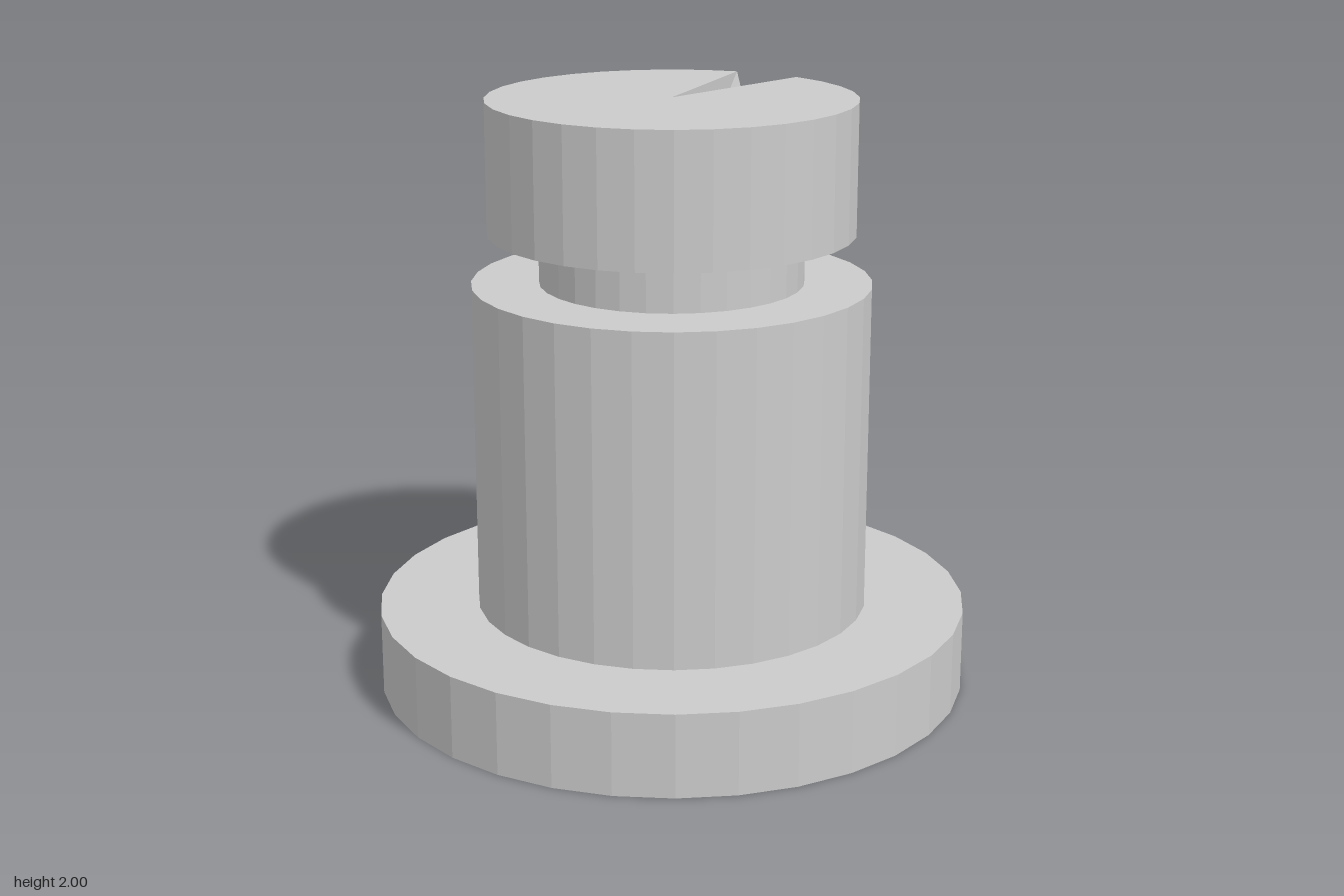
import * as THREE from 'three';

const SIDES = 32;
const material = new THREE.MeshStandardMaterial({
  color: 0xcccccc, flatShading: true, side: THREE.DoubleSide,
});

// Closed faceted drum with a narrow wedge notch, open to its floor, on the +x side
function notchedDrum(name, radius, y0, y1) {
  const positions = [];
  const rim = (i, y) => {
    const a = ((i % SIDES) / SIDES) * Math.PI * 2;
    return [radius * Math.cos(a), y, -radius * Math.sin(a)];
  };
  const low = (i) => rim(i, y0);
  const high = (i) => rim(i, y1);
  const floor = [0, y0, 0];
  const top = [0, y1, 0];
  const tri = (a, b, c) => positions.push(...a, ...b, ...c);

  // full underside
  for (let i = 0; i < SIDES; i++) tri(floor, low(i + 1), low(i));

  // top and outer wall, skipping the notch
  for (let i = 2; i < SIDES; i++) {
    tri(top, high(i), high(i + 1));
    tri(low(i), low(i + 1), high(i + 1));
    tri(low(i), high(i + 1), high(i));
  }

  // notch: upright wall, opposite wall, slanted face and its outer end
  tri(floor, top, high(0));
  tri(floor, high(0), low(0));
  tri(floor, high(2), top);
  tri(floor, low(1), high(2));
  tri(low(1), low(2), high(2));

  const geometry = new THREE.BufferGeometry();
  geometry.setAttribute('position', new THREE.Float32BufferAttribute(positions, 3));
  geometry.computeVertexNormals();
  const mesh = new THREE.Mesh(geometry, material);
  mesh.name = name;
  return mesh;
}

export function createModel() {
  const group = new THREE.Group();
  group.name = 'steppedPin';
  group.add(
    notchedDrum('baseFlange', 1, 0, 0.28),
    notchedDrum('body', 0.665, 0.28, 1.39),
    notchedDrum('neck', 0.44, 1.39, 1.56),
    notchedDrum('cap', 0.61, 1.56, 2),
  );
  return group;
}
